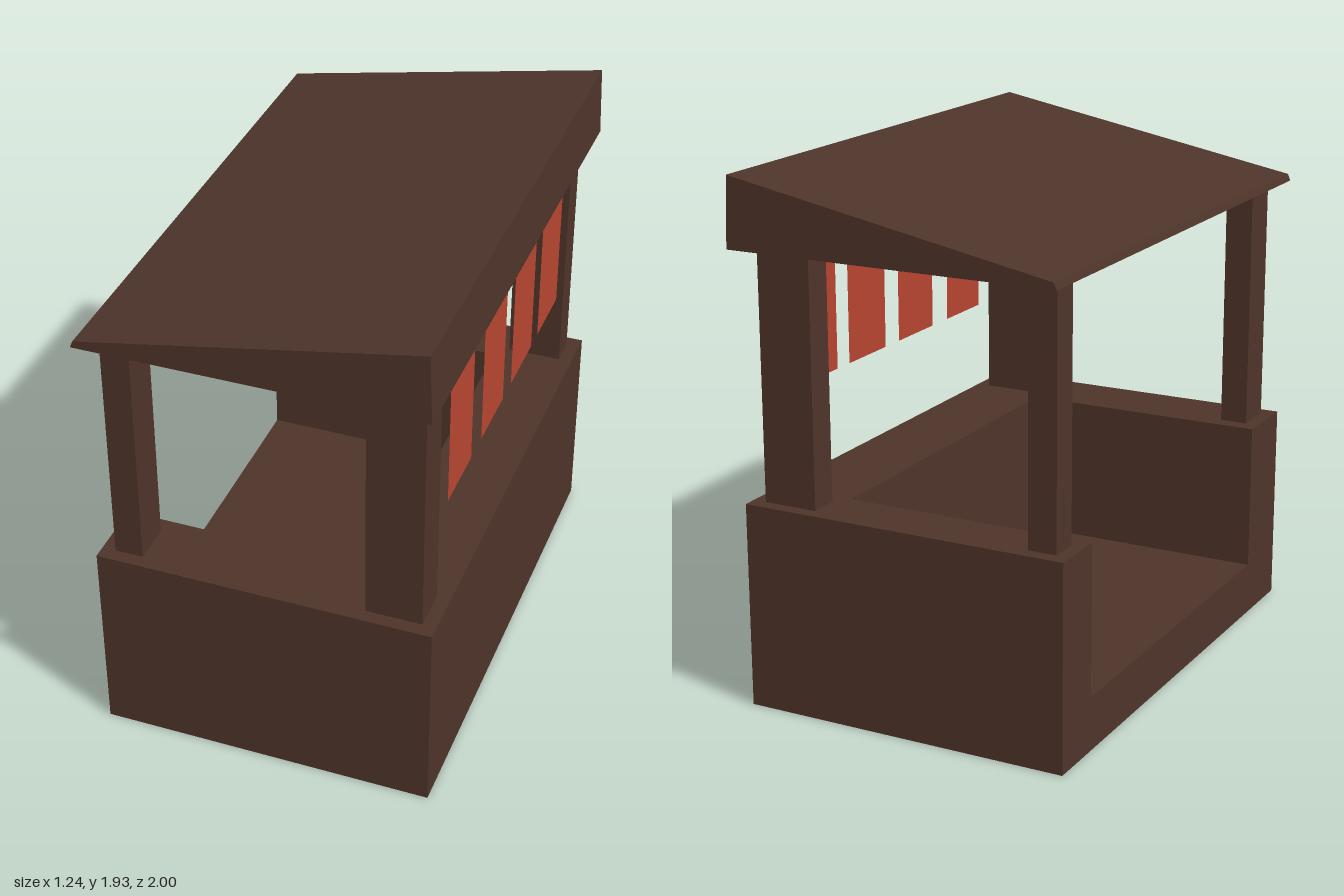
import * as THREE from 'three';

const wood = new THREE.MeshStandardMaterial({ color: 0x4e342a, flatShading: true });
const cloth = new THREE.MeshStandardMaterial({ color: 0xb84530, side: THREE.DoubleSide });

// Extrudes an outline of [a, b] points to the given depth
function extrude(points, depth) {
  const shape = new THREE.Shape(points.map(([a, b]) => new THREE.Vector2(a, b)));
  return new THREE.ExtrudeGeometry(shape, { depth, bevelEnabled: false });
}

export function createModel() {
  const group = new THREE.Group();
  const add = (name, geometry, material) => {
    const mesh = new THREE.Mesh(geometry, material);
    mesh.name = name;
    group.add(mesh);
    return mesh;
  };

  const W = 0.62, D = 0.945, floorY = 0.2, counterY = 0.76;

  // Floor slab
  add('floor', new THREE.BoxGeometry(2 * W, floorY, 2 * D), wood).position.y = floorY / 2;

  // U-shaped counter, open towards -x (outline is x, -z)
  const counter = extrude([
    [-W, -D], [W, -D], [W, D], [-W, D],
    [-W, 0.73], [0.32, 0.73], [0.32, -0.68], [-W, -0.68],
  ], counterY - floorY);
  counter.rotateX(-Math.PI / 2);
  add('counter', counter, wood).position.y = floorY;

  // Corner posts: every pairing of an x span and a z span
  const roofY = 1.68;
  for (const [x0, x1] of [[-0.57, -0.465], [0.365, 0.57]]) {
    for (const [z0, z1] of [[0.74, 0.895], [-0.895, -0.785]]) {
      const post = add('post', new THREE.BoxGeometry(x1 - x0, roofY - counterY, z1 - z0), wood);
      post.position.set((x0 + x1) / 2, (roofY + counterY) / 2, (z0 + z1) / 2);
    }
  }

  // Sloped wedge roof
  const roof = extrude([[-0.62, roofY], [0.62, roofY], [0.61, 1.935], [-0.61, 1.705]], 2);
  add('roof', roof, wood).position.z = -1;

  // Hanging cloth banners on the serving side
  for (const z of [0.535, 0.163, -0.192, -0.53]) {
    const banner = add('banner', new THREE.PlaneGeometry(0.257, 0.56), cloth);
    banner.rotation.y = Math.PI / 2;
    banner.position.set(0.575, 1.4, z);
  }

  return group;
}
